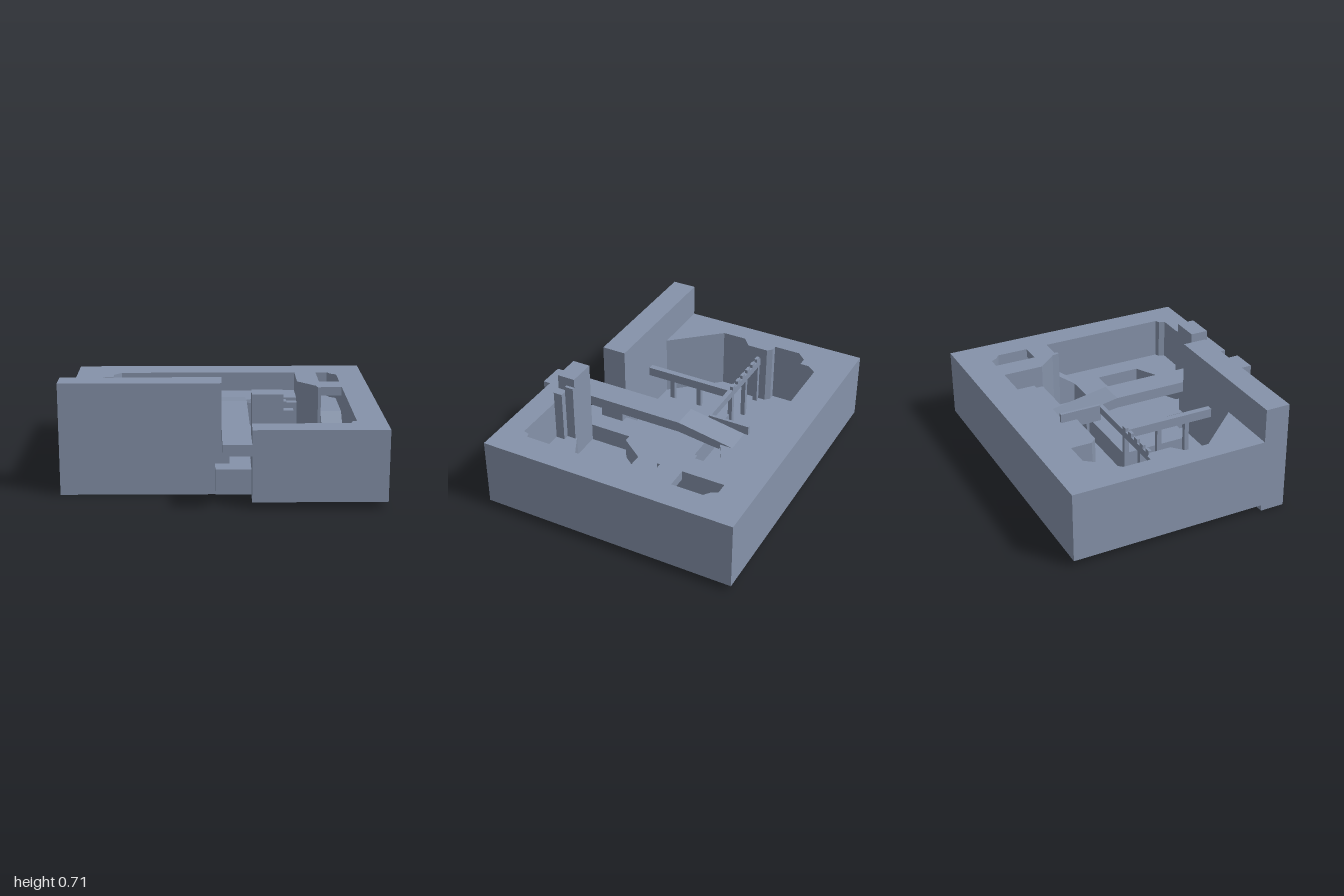
import * as THREE from 'three';

const stone = new THREE.MeshStandardMaterial({ color: 0x8592a9 });
stone.name = 'blueGreyStone';

export function createModel() {
  const model = new THREE.Group();
  model.name = 'walledCourtyard';

  function add(name, geometry) {
    const mesh = new THREE.Mesh(geometry, stone);
    mesh.name = name;
    model.add(mesh);
    return mesh;
  }
  // Box given by its limits on each axis
  function box(name, x0, x1, y0, y1, z0, z1) {
    const g = new THREE.BoxGeometry(x1 - x0, y1 - y0, z1 - z0);
    g.translate((x0 + x1) / 2, (y0 + y1) / 2, (z0 + z1) / 2);
    return add(name, g);
  }
  // Plan outline in [x, z], raised from y0 to y1
  function slab(name, plan, y0, y1) {
    const shape = new THREE.Shape(plan.map(([x, z]) => new THREE.Vector2(x, -z)));
    const g = new THREE.ExtrudeGeometry(shape, { depth: y1 - y0, bevelEnabled: false });
    g.rotateX(-Math.PI / 2);
    g.translate(0, y0, 0);
    return add(name, g);
  }
  // Side outline in [z, y], spanning x0 to x1
  function sideProfile(name, profile, x0, x1) {
    const shape = new THREE.Shape(profile.map(([z, y]) => new THREE.Vector2(-z, y)));
    const g = new THREE.ExtrudeGeometry(shape, { depth: x1 - x0, bevelEnabled: false });
    g.rotateY(Math.PI / 2);
    g.translate(x0, 0, 0);
    return add(name, g);
  }

  // Thick outer walls around the irregular courtyard, open at the front gate
  slab('outerWalls', [
    [-1, 0.53], [-1, -0.9], [1, -0.9], [1, 0.8], [0.18, 0.8], [0.18, 0.53],
    [0.39, 0.53], [0.39, 0.59], [0.43, 0.59], [0.43, 0.65], [0.78, 0.65], [0.79, 0.61], [0.82, 0.6],
    [0.82, -0.62], [0.78, -0.65], [0.76, -0.69], [0.68, -0.69], [0.68, -0.24],
    [0.66, -0.24], [0.65, -0.29], [0.53, -0.42], [0.53, -0.69],
    [-0.69, -0.69], [-0.74, -0.63], [-0.74, -0.57], [-0.8, -0.57], [-0.86, -0.51],
    [-0.86, -0.33], [-0.82, -0.33], [-0.79, -0.3], [-0.79, -0.16], [-0.86, -0.1],
    [-0.86, 0.06], [-0.58, 0.37], [0, 0.37], [0, 0.53],
  ], 0.04, 0.49);

  // Tall front wall
  box('frontWallTop', -1, 0, 0.49, 0.71, 0.37, 0.53);
  box('frontWallFoot', -1, 0, 0, 0.04, 0.37, 0.53);

  // Sunken floor and the raised walkways
  box('lowFloor', -0.86, 0.68, 0, 0.08, -0.69, 0.53);
  slab('walkway', [
    [-0.33, -0.24], [0.18, -0.24], [0.18, -0.26], [0.25, -0.26], [0.37, -0.12], [0.82, -0.12],
    [0.82, 0.65], [0.37, 0.65], [0.37, 0.53], [0.68, 0.37], [0.68, 0.07],
    [0.37, 0.07], [0.25, 0.23], [-0.33, 0.23],
  ], 0.04, 0.22);

  // Covered passage at the back right, with its ramp and roof
  sideProfile('passageFloor', [
    [-0.69, 0.04], [-0.12, 0.04], [-0.12, 0.22], [-0.26, 0.32], [-0.69, 0.32],
  ], 0.68, 0.82);
  box('passageRoof', 0.68, 0.82, 0.43, 0.49, -0.41, -0.26);

  // Back terrace
  slab('backTerrace', [
    [-0.33, -0.69], [0.53, -0.69], [0.53, -0.48], [0.29, -0.48], [0.18, -0.42],
    [-0.29, -0.42], [-0.33, -0.46],
  ], 0.08, 0.36);
  slab('terraceLedge', [[0.18, -0.42], [0.29, -0.48], [0.53, -0.48], [0.53, -0.42]], 0.08, 0.34);

  // Entrance under the bridge
  box('entranceFloor', 0, 0.18, 0.04, 0.2, 0.2, 0.65);
  box('entranceStep', -0.04, 0, 0.04, 0.2, 0.53, 0.65);
  box('entranceJamb', 0, 0.05, 0.2, 0.36, 0.37, 0.53);

  // Long bridge, sloping down to the terrace
  sideProfile('bridge', [
    [0.9, 0.36], [0.9, 0.43], [-0.12, 0.43], [-0.34, 0.39], [-0.53, 0.355],
    [-0.53, 0.31], [-0.34, 0.33], [-0.12, 0.36],
  ], 0, 0.175);
  box('bridgeRail', -0.02, 0, 0.31, 0.42, -0.53, -0.25);

  // Gate pillar with stepped side
  box('gatePillar', 0.18, 0.37, 0.49, 0.67, 0.53, 0.65);
  box('pillarUpperStep', 0.37, 0.39, 0.49, 0.61, 0.53, 0.59);
  box('pillarLowerStep', 0.37, 0.43, 0.49, 0.57, 0.59, 0.65);

  // Raised galleries on posts, with a toothed parapet
  box('crossGallery', -0.79, 0, 0.36, 0.41, -0.255, -0.225);
  box('sideGallery', -0.37, -0.33, 0.35, 0.41, -0.24, 0.37);
  for (let i = 0; i < 6; i++) {
    const x = -0.77 + i * 0.077;
    box('parapetTooth', x, x + 0.04, 0.41, 0.435, -0.255, -0.235);
  }
  for (const x of [-0.78, -0.58, -0.37]) {
    box('galleryPost', x, x + 0.03, 0.08, 0.36, -0.255, -0.225);
  }
  for (const z of [-0.02, 0.18]) {
    box('sideGalleryPost', -0.365, -0.335, 0.08, 0.35, z, z + 0.03);
  }

  return model;
}
